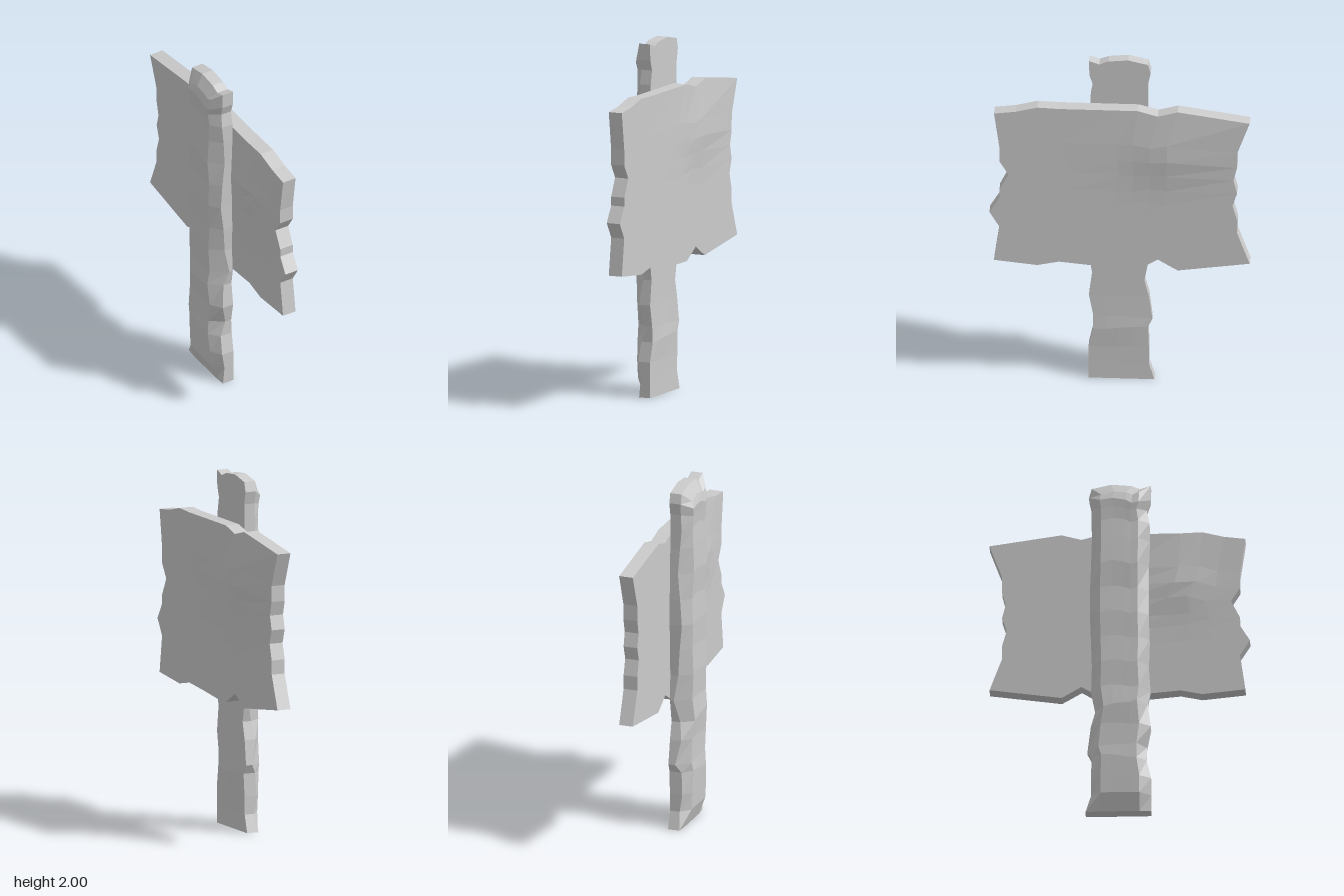
import * as THREE from 'three';

const material = new THREE.MeshStandardMaterial({ color: 0xcccccc, flatShading: true });

// Slab whose z-y outline follows four rough edges ([z, y] points); place(layer, row, z, y) sets the final position
function roughSlab(name, layers, left, right, bottom, top, place) {
  const nv = left.length - 1, nu = top.length - 1;
  const geo = new THREE.BoxGeometry(1, 1, 1, layers, nv, nu);
  const pos = geo.attributes.position;
  for (let k = 0; k < pos.count; k++) {
    const layer = Math.round((pos.getX(k) + 0.5) * layers);
    const i = Math.round((0.5 - pos.getZ(k)) * nu), u = i / nu;
    const j = Math.round((pos.getY(k) + 0.5) * nv), v = j / nv;
    // blend the four edges into an even patch
    const [z, y] = [0, 1].map((c) =>
      (1 - v) * bottom[i][c] + v * top[i][c] + (1 - u) * left[j][c] + u * right[j][c]
      - (1 - u) * ((1 - v) * left[0][c] + v * left[nv][c])
      - u * ((1 - v) * right[0][c] + v * right[nv][c]));
    pos.setXYZ(k, ...place(layer, j, z, y));
  }
  const flat = geo.toNonIndexed();
  flat.computeVertexNormals();
  const mesh = new THREE.Mesh(flat, material);
  mesh.name = name;
  return mesh;
}

// Smooth dent or swelling centred on (z0, y0)
const bump = (z, y, z0, y0, rz, ry) => Math.exp(-(((z - z0) / rz) ** 2) - ((y - y0) / ry) ** 2);

function createBoard() {
  const left = [[.70, .77], [.67, .98], [.725, 1.07], [.67, 1.16], [.67, 1.21], [.62, 1.31], [.67, 1.39], [.67, 1.48], [.70, 1.69]];
  const right = [[-.72, .79], [-.65, .98], [-.65, 1.06], [-.625, 1.15], [-.65, 1.23], [-.63, 1.31], [-.65, 1.39], [-.65, 1.48], [-.72, 1.67]];
  const top = [[.70, 1.69], [.58, 1.705], [.46, 1.735], [.34, 1.73], [0, 1.73], [-.10, 1.73], [-.21, 1.70], [-.32, 1.73], [-.72, 1.67]];
  const bottom = [[.70, .77], [.46, .745], [.34, .77], [.18, .755], [0, .735], [-.10, .735], [-.21, .80], [-.32, .735], [-.72, .79]];
  return roughSlab('signBoard', 1, left, right, bottom, top, (layer, row, z, y) => [
    layer ? 0.095 + 0.023 * bump(z, y, -.28, 1.46, .22, .16) : 0.014 - 0.024 * bump(z, y, .33, 1.42, .18, .16),
    y, z,
  ]);
}

function createPost() {
  const left = [[.18, 0], [.18, .1], [.18, .2], [.155, .31], [.155, .4], [.178, .52], [.16, .66], [.175, .75], [.165, .9],
    [.17, 1.05], [.165, 1.2], [.165, 1.35], [.165, 1.5], [.17, 1.65], [.17, 1.76], [.155, 1.84], [.175, 1.9], [.178, 1.99]];
  const right = [[-.185, 0], [-.155, .1], [-.155, .2], [-.15, .33], [-.175, .38], [-.155, .52], [-.13, .62], [-.155, .75], [-.15, .9],
    [-.155, 1.05], [-.16, 1.2], [-.16, 1.35], [-.155, 1.5], [-.15, 1.65], [-.15, 1.76], [-.15, 1.85], [-.165, 1.92], [-.15, 1.975]];
  const top = [[.178, 1.99], [.12, 1.97], [.07, 1.99], [-.04, 2], [-.15, 1.975]];
  const bottom = [.18, .09, 0, -.09, -.185].map((z) => [z, 0]);
  // depth of the bevel's outer edge and of the back face, row by row
  const bevelX = [-.06, -.05, -.065, -.06, -.03, -.06, -.045, -.015, -.04, -.05, -.065, -.055, -.04, -.05, -.06, -.055, -.06, -.06];
  const backX = [-.065, -.1, -.105, -.11, -.105, -.105, -.115, -.105, -.11, -.105, -.11, -.105, -.115, -.11, -.105, -.11, -.115, -.1];
  return roughSlab('post', 2, left, right, bottom, top, (layer, row, z, y) => {
    if (layer === 2) return [0.007 + 0.009 * bump(z, y, 0, .31, .2, .08), y, z];
    if (layer === 1) return [bevelX[row], y, z];
    return [backX[row], y > 1.8 ? y - 0.06 * (y - 1.8) / 0.2 : y, z * 0.64];
  });
}

export function createModel() {
  const group = new THREE.Group();
  group.name = 'woodenSign';
  group.add(createPost(), createBoard());
  return group;
}
